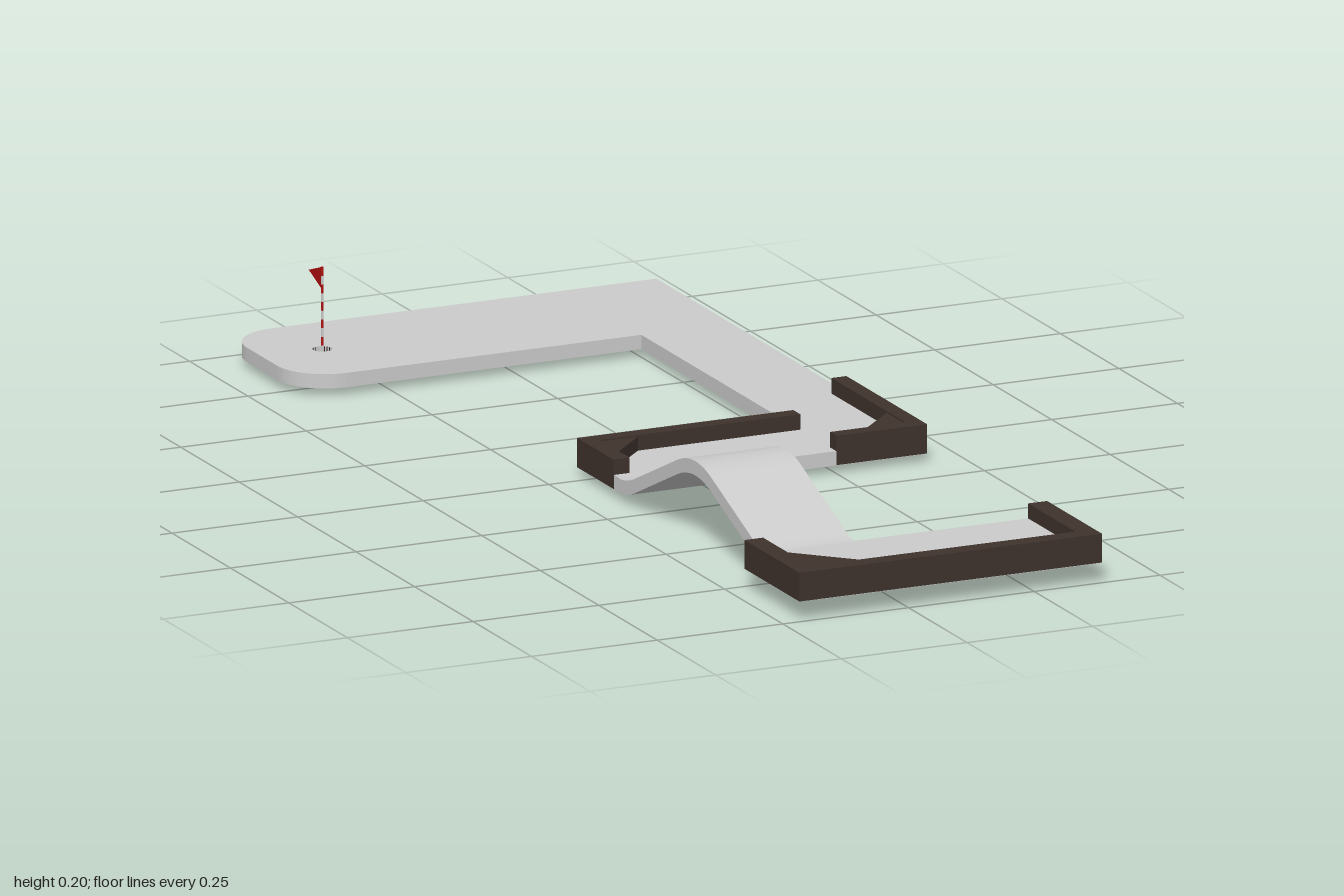
import * as THREE from 'three';
import { toCreasedNormals } from 'three/addons/utils/BufferGeometryUtils.js';

const mat = (color) => new THREE.MeshStandardMaterial({ color });

export function createModel() {
  const group = new THREE.Group();
  const grey = mat(0xcccccc);
  const wood = mat(0x3e322c);
  const red = mat(0xb01010);
  const dark = mat(0x2e1c1a);

  const add = (name, geometry, material, x = 0, y = 0, z = 0) => {
    const mesh = new THREE.Mesh(geometry, material);
    mesh.name = name;
    mesh.position.set(x, y, z);
    group.add(mesh);
    return mesh;
  };

  // Plan shape in (x, z), raised from y0 to y1
  const slab = (name, shape, y0, y1, material) => {
    const geo = new THREE.ExtrudeGeometry(shape, { depth: y1 - y0, bevelEnabled: false, curveSegments: 10 });
    geo.rotateX(Math.PI / 2);
    return add(name, toCreasedNormals(geo, 0.6), material, 0, y1, 0);
  };
  const polygon = (pts) => new THREE.Shape(pts.map(([x, z]) => new THREE.Vector2(x, z)));

  // Box given by its limits
  const block = (name, x0, x1, y0, y1, z0, z1, material) =>
    add(name, new THREE.BoxGeometry(x1 - x0, y1 - y0, z1 - z0), material,
      (x0 + x1) / 2, (y0 + y1) / 2, (z0 + z1) / 2);

  const cup = { x: -0.31, z: -0.84, r: 0.018 };
  const e = 0.001; // keeps walls clear of the floor faces

  // Lower lane: rounded green, long run and middle run in one piece
  const lane = new THREE.Shape();
  lane.moveTo(0.43 - e, -1);
  lane.lineTo(0.43 - e, 0.155 - e);
  lane.lineTo(-0.18 + e, 0.155 - e);
  lane.lineTo(-0.18 + e, -0.03 + e);
  lane.lineTo(0.25, -0.03 + e);
  lane.lineTo(0.25, -0.68);
  lane.lineTo(-0.335, -0.68);
  lane.absarc(-0.335, -0.775, 0.095, Math.PI / 2, Math.PI, false);
  lane.absarc(-0.335, -0.905, 0.095, Math.PI, Math.PI * 1.5, false);
  lane.closePath();
  const hole = new THREE.Path();
  hole.absarc(cup.x, cup.z, cup.r, 0, Math.PI * 2, true);
  lane.holes.push(hole);
  slab('lowerLane', lane, 0.015, 0.042, grey);

  // Raised tee floor
  block('teeFloor', -0.18, 0.385 - e, 0.037, 0.064, 0.765, 1 - e, grey);

  // Hump: side profile in (z, y), extruded across the lane
  const path = new THREE.CurvePath();
  const v = (z, y) => new THREE.Vector2(z, y);
  path.add(new THREE.QuadraticBezierCurve(v(0.15, 0.042), v(0.18, 0.042), v(0.215, 0.058)));
  path.add(new THREE.LineCurve(v(0.215, 0.058), v(0.40, 0.143)));
  path.add(new THREE.QuadraticBezierCurve(v(0.40, 0.143), v(0.47, 0.174), v(0.54, 0.148)));
  path.add(new THREE.LineCurve(v(0.54, 0.148), v(0.72, 0.078)));
  path.add(new THREE.QuadraticBezierCurve(v(0.72, 0.078), v(0.75, 0.064), v(0.77, 0.064)));
  const top = path.getPoints(8);
  const under = top.map((p) => v(p.x, p.y - 0.027)).reverse();
  const hump = new THREE.ExtrudeGeometry(new THREE.Shape([...top, ...under]), { depth: 0.18, bevelEnabled: false });
  hump.rotateY(-Math.PI / 2);
  add('hump', toCreasedNormals(hump, 0.6), grey);

  // Tee walls
  const t0 = 0.037 + e, t1 = 0.092;
  block('teeFrontWall', -0.217, 0.385, t0, t1, 0.967, 1, wood);
  block('teeRightWall', -0.217, -0.18, t0, t1, 0.765, 0.967, wood);
  block('teeLeftWall', 0.347, 0.385, t0, t1, 0.765, 0.967, wood);

  // Middle walls
  const m0 = 0.015 + e, m1 = 0.071;
  block('middleBackWall', -0.18, 0.25, m0, m1, -0.03, 0, wood);
  block('middleRightWall', -0.18, -0.148, m0, m1, 0, 0.125, wood);
  block('bendSideWall', 0.4, 0.43, m0, m1, -0.19, 0.155, wood);
  block('bendFrontWall', 0.25, 0.4, m0, m1, 0.127, 0.155, wood);

  // Triangular bank blocks in the corners
  const bank = (name, x, z, dx, dz, y0, y1) =>
    slab(name, polygon([[x, z], [x + dx, z], [x, z + dz]]), y0, y1, wood);
  bank('teeCornerBank', -0.18, 0.967, 0.11, -0.11, 0.05, t1 - 0.003);
  bank('middleCornerBank', -0.148, 0, 0.075, 0.075, 0.03, m1 - 0.003);
  bank('bendCornerBank', 0.4, 0.127, -0.08, -0.08, 0.03, m1 - 0.003);

  // Cup below the hole
  add('cupOuter', new THREE.CylinderGeometry(0.021, 0.021, 0.015, 24), grey, cup.x, 0.0075, cup.z);
  const lining = dark.clone();
  lining.side = THREE.DoubleSide;
  add('cupLining', new THREE.CylinderGeometry(cup.r, cup.r, 0.026, 24, 1, true), lining, cup.x, 0.0285, cup.z);
  const base = new THREE.CircleGeometry(cup.r, 24).rotateX(-Math.PI / 2);
  add('cupBase', base, dark, cup.x, 0.0165, cup.z);

  // Banded flag pole
  const bands = 11, y0 = 0.016, h = (0.196 - y0) / bands;
  for (let i = 0; i < bands; i++) {
    add('poleBand', new THREE.CylinderGeometry(0.0025, 0.0025, h, 10), i % 2 ? grey : red,
      cup.x, y0 + h * (i + 0.5), cup.z);
  }

  // Pennant pointing to the back
  const pennant = new THREE.ExtrudeGeometry(
    polygon([[cup.z, 0.154], [cup.z, 0.196], [cup.z - 0.056, 0.176]]),
    { depth: 0.002, bevelEnabled: false });
  pennant.rotateY(-Math.PI / 2);
  add('pennant', pennant, red, cup.x + 0.001, 0, 0);

  return group;
}
